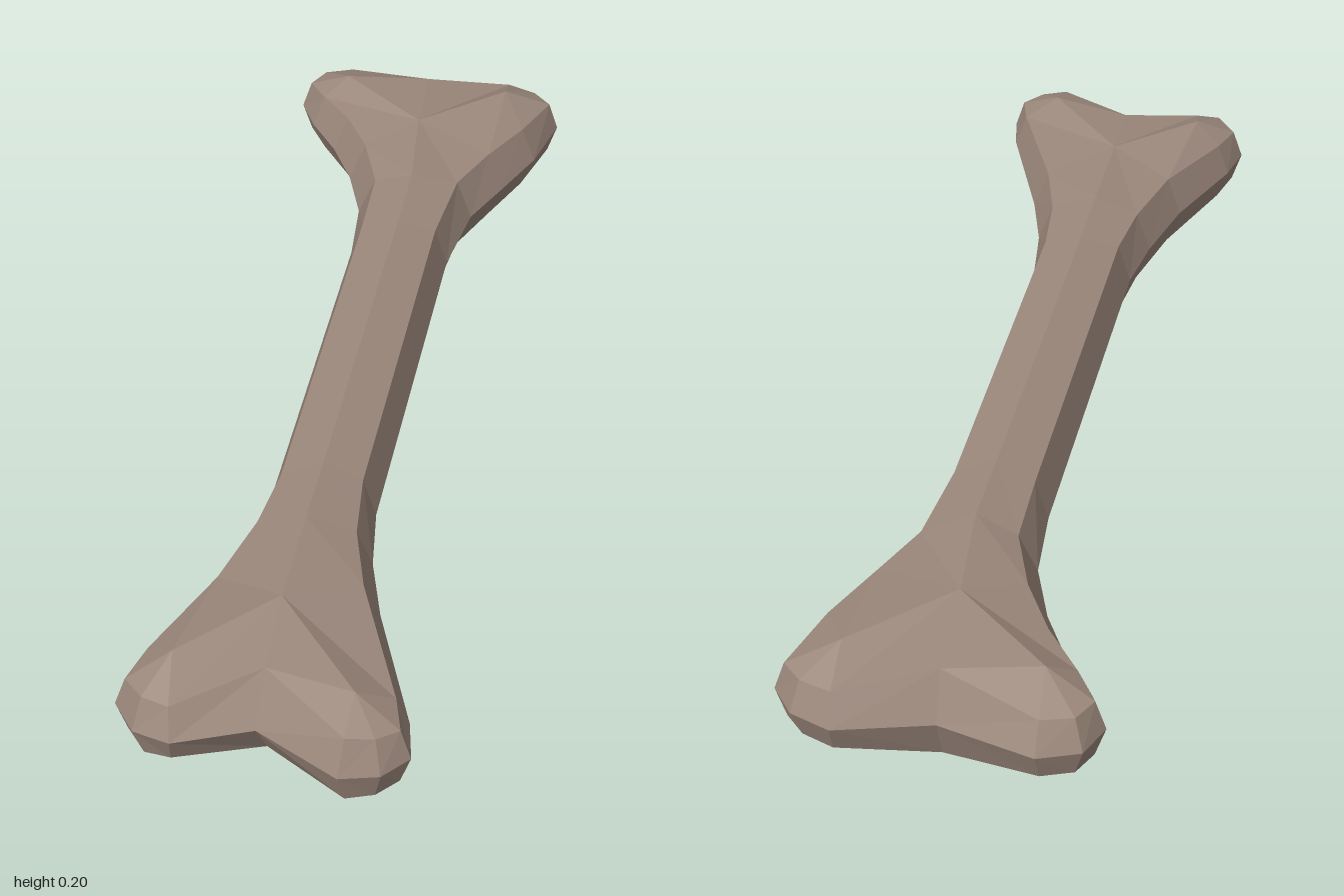
import * as THREE from 'three';

// Ridge points along the top of the bone: [x, y, z]
const RIDGE = {
  backLeft: [-0.17, 0.193, -0.89], backRight: [0.155, 0.193, -0.89],
  backFork: [0.0, 0.2, -0.74], backNeck: [0.02, 0.199, -0.54],
  shaftBack: [0.02, 0.195, -0.38], shaftFront: [0.02, 0.195, 0.35],
  frontNeck: [0.02, 0.199, 0.5], frontFork: [0.02, 0.2, 0.7],
  frontLeft: [-0.125, 0.192, 0.85], frontRight: [0.175, 0.192, 0.89],
};

// Outline at mid height, anticlockwise from above:
// x, z, inset of the shoulder, height of the shoulder, ridge point it leans to
const OUTLINE = [
  [-0.01, -0.955, 0.035, 0.186, 'backFork'],
  [-0.175, -1.0, 0.025, 0.157, 'backLeft'],
  [-0.245, -0.973, 0.022, 0.155, 'backLeft'],
  [-0.27, -0.91, 0.018, 0.154, 'backLeft'],
  [-0.235, -0.84, 0.025, 0.16, 'backLeft'],
  [-0.175, -0.755, 0.03, 0.168, 'backFork'],
  [-0.125, -0.66, 0.032, 0.172, 'backFork'],
  [-0.085, -0.545, 0.032, 0.173, 'backNeck'],
  [-0.073, -0.4, 0.023, 0.173, 'shaftBack'],
  [-0.073, 0.37, 0.023, 0.173, 'shaftFront'],
  [-0.09, 0.49, 0.027, 0.172, 'frontNeck'],
  [-0.125, 0.635, 0.027, 0.17, 'frontFork'],
  [-0.195, 0.81, 0.022, 0.158, 'frontLeft'],
  [-0.212, 0.89, 0.018, 0.153, 'frontLeft'],
  [-0.17, 0.947, 0.022, 0.16, 'frontLeft'],
  [-0.107, 0.963, 0.025, 0.155, 'frontLeft'],
  [0.02, 0.91, 0.055, 0.186, 'frontFork'],
  [0.165, 0.99, 0.025, 0.165, 'frontRight'],
  [0.23, 0.973, 0.022, 0.16, 'frontRight'],
  [0.27, 0.926, 0.018, 0.154, 'frontRight'],
  [0.255, 0.85, 0.022, 0.157, 'frontRight'],
  [0.165, 0.61, 0.028, 0.17, 'frontFork'],
  [0.13, 0.487, 0.027, 0.172, 'frontNeck'],
  [0.113, 0.36, 0.023, 0.173, 'shaftFront'],
  [0.113, -0.4, 0.023, 0.173, 'shaftBack'],
  [0.135, -0.565, 0.03, 0.173, 'backNeck'],
  [0.18, -0.67, 0.032, 0.172, 'backFork'],
  [0.23, -0.79, 0.028, 0.165, 'backRight'],
  [0.26, -0.92, 0.018, 0.154, 'backRight'],
  [0.22, -0.973, 0.022, 0.155, 'backRight'],
  [0.15, -1.0, 0.025, 0.157, 'backRight'],
];

const MID = 0.1;

function boneGeometry() {
  const n = OUTLINE.length;
  const positions = [];

  // Each triangle is also mirrored below the mid height
  const flip = ([x, y, z]) => [x, 2 * MID - y, z];
  const tri = (a, b, c) => {
    positions.push(...a, ...b, ...c);
    positions.push(...flip(a), ...flip(c), ...flip(b));
  };

  // Rim, shoulder and ridge point for every station of the outline
  const stations = OUTLINE.map(([x, z, inset, y, ridge], i) => {
    const prev = OUTLINE[(i + n - 1) % n];
    const next = OUTLINE[(i + 1) % n];
    const tx = next[0] - prev[0], tz = next[1] - prev[1];
    const k = inset / Math.hypot(tx, tz);
    return { rim: [x, MID, z], shoulder: [x + tz * k, y, z - tx * k], ridge: RIDGE[ridge] };
  });

  // Side band, then the upper band closing on the ridge
  stations.forEach((a, i) => {
    const b = stations[(i + 1) % n];
    tri(a.rim, b.rim, b.shoulder);
    tri(a.rim, b.shoulder, a.shoulder);
    tri(a.shoulder, b.shoulder, b.ridge);
    if (a.ridge !== b.ridge) tri(a.shoulder, b.ridge, a.ridge);
  });

  const geometry = new THREE.BufferGeometry();
  geometry.setAttribute('position', new THREE.Float32BufferAttribute(positions, 3));
  geometry.computeVertexNormals();
  return geometry;
}

export function createModel() {
  const group = new THREE.Group();
  group.name = 'bone';

  const material = new THREE.MeshStandardMaterial({ color: 0x9d897d });
  material.name = 'agedBone';
  material.flatShading = true;

  const bone = new THREE.Mesh(boneGeometry(), material);
  bone.name = 'boneBody';
  group.add(bone);
  return group;
}
